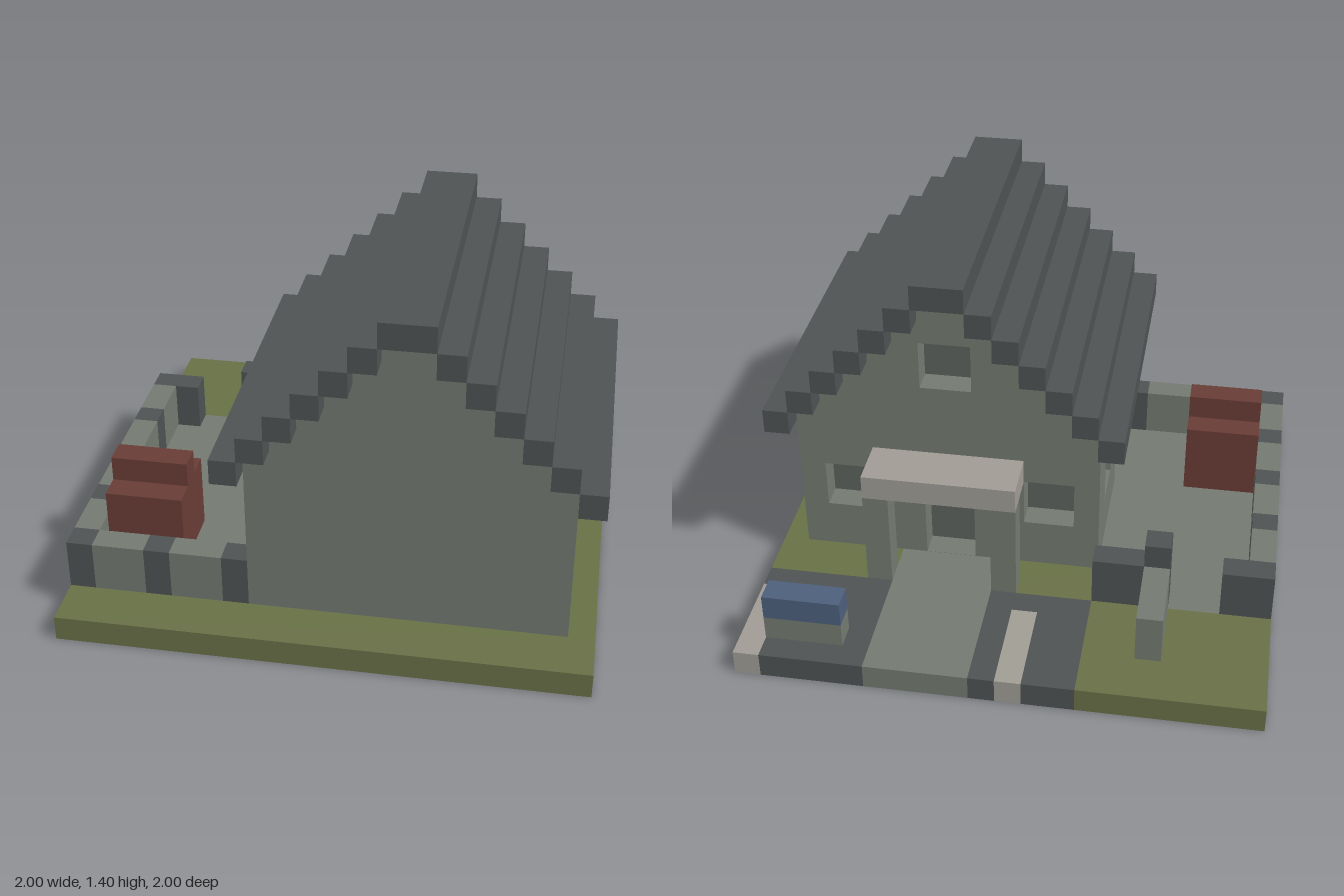
import * as THREE from 'three';

const mat = (name, color) => {
  const m = new THREE.MeshStandardMaterial({ color });
  m.name = name;
  return m;
};

export function createModel() {
  const root = new THREE.Group();
  root.name = 'house';
  const grass = mat('grass', 0x687046);
  const stone = mat('stone', 0x737970);
  const slate = mat('slate', 0x4e5253);
  const pale = mat('paleStone', 0xa09c94);
  const red = mat('redWood', 0x693d36);
  const blue = mat('blue', 0x4d5f7c);
  const glass = mat('darkGlass', 0x5c625e);

  // Box from its corner limits
  const box = (name, m, x0, x1, y0, y1, z0, z1, parent = root) => {
    const mesh = new THREE.Mesh(new THREE.BoxGeometry(x1 - x0, y1 - y0, z1 - z0), m);
    mesh.position.set((x0 + x1) / 2, (y0 + y1) / 2, (z0 + z1) / 2);
    mesh.name = name;
    parent.add(mesh);
    return mesh;
  };

  // Ground slab, one tile thick, laid in patches
  const tiles = (name, m, list) =>
    list.forEach(([x0, x1, z0, z1]) => box(name, m, x0, x1, 0, 0.1, z0, z1));
  tiles('lawn', grass, [
    [-1, 1, 0.8, 1], [0.9, 1, -0.5, 0.8], [0.5, 0.9, -0.5, -0.3],
    [-0.3, 0.1, -0.5, -0.3], [-1, -0.3, -1, -0.5],
  ]);
  tiles('paving', stone, [[-1, 0.9, -0.3, 0.8], [-1, -0.3, -0.5, -0.3], [0.1, 0.5, -1, -0.3]]);
  tiles('drive', slate, [
    [-0.3, -0.1, -1, -0.5], [-0.1, 0, -0.6, -0.5], [0, 0.1, -1, -0.5],
    [0.5, 0.9, -1, -0.5], [0.9, 1, -0.6, -0.5],
  ]);
  tiles('driveMarking', pale, [[-0.1, 0, -1, -0.6], [0.9, 1, -1, -0.6]]);

  // House walls: outline extruded one tile, with rectangular openings
  const wall = (name, outline, openings) => {
    const shape = new THREE.Shape(outline.map(([x, y]) => new THREE.Vector2(x, y)));
    const g = new THREE.Group();
    g.name = name;
    openings.forEach(([x0, x1, y0, y1, m]) => {
      shape.holes.push(new THREE.Path([
        new THREE.Vector2(x0, y0), new THREE.Vector2(x0, y1),
        new THREE.Vector2(x1, y1), new THREE.Vector2(x1, y0),
      ]));
    });
    const geo = new THREE.ExtrudeGeometry(shape, { depth: 0.1, bevelEnabled: false });
    const mesh = new THREE.Mesh(geo, stone);
    mesh.name = name + 'Panel';
    g.add(mesh);
    root.add(g);
    return g;
  };
  // Thin pane on the inner side of each opening
  const panes = (g, openings, z0) => openings.forEach(([x0, x1, y0, y1, m]) =>
    box(m === red ? 'door' : 'pane', m, x0, x1, y0, y1, z0, z0 + 0.008, g));

  // Stepped gable outline
  const leftSteps = [], rightSteps = [];
  for (let k = 0; k < 6; k++) {
    const y = 0.7 + 0.1 * k, dx = 0.1 * k;
    leftSteps.unshift([-0.3 + dx, y + 0.1], [-0.3 + dx, k ? y : 0.1]);
    rightSteps.push([0.9 - dx, k ? y : 0.1], [0.9 - dx, y + 0.1]);
  }
  const gable = [...rightSteps, ...leftSteps];

  wall('frontGable', gable, []).position.z = 0.7;

  const backOpenings = [
    [-0.2, 0, 0.3, 0.5, glass], [0.6, 0.8, 0.3, 0.5, glass],
    [0.2, 0.4, 0.9, 1.1, glass], [0.2, 0.4, 0.101, 0.5, glass],
  ];
  const back = wall('backGable', gable, backOpenings);
  back.position.z = -0.3;
  panes(back, backOpenings, 0.1);

  // Side walls, drawn along z and turned into place
  const side = [[-0.2, 0.1], [0.7, 0.1], [0.7, 0.8], [-0.2, 0.8]];
  const leftOpenings = [[0, 0.2, 0.3, 0.5, glass], [0.4, 0.6, 0.3, 0.5, glass]];
  const rightOpenings = [[-0.1, 0.1, 0.3, 0.5, glass], [0.3, 0.5, 0.101, 0.5, red]];
  const left = wall('leftWall', side, leftOpenings);
  left.position.x = 0.9;
  panes(left, leftOpenings, 0.1);
  const right = wall('rightWall', side, rightOpenings);
  right.position.x = -0.2;
  panes(right, rightOpenings, -0.008);
  left.rotation.y = right.rotation.y = -Math.PI / 2;

  // Stepped roof, mirrored about the ridge
  for (let k = 0; k < 6; k++) {
    const y = 0.7 + 0.1 * k, d = 0.1 * k;
    box('roofStep', slate, -0.4 + d, -0.3 + d, y, y + 0.1, -0.4, 0.9);
    box('roofStep', slate, 0.9 - d, 1 - d, y, y + 0.1, -0.4, 0.9);
  }
  box('roofRidge', slate, 0.2, 0.4, 1.3, 1.4, -0.4, 0.9);

  // Porch
  box('porchCanopy', pale, 0, 0.6, 0.5, 0.6, -0.5, -0.3);
  for (const x of [0, 0.5]) box('porchPost', stone, x, x + 0.1, 0.1, 0.5, -0.5, -0.4);

  // Terrace wall with alternating dark piers
  const low = (name, m, x0, x1, z0, z1, top = 0.3) => box(name, m, x0, x1, 0.1, top, z0, z1);
  const pierZ = [-0.5, -0.2, 0.1, 0.4, 0.7];
  pierZ.forEach((z, i) => {
    low('terracePier', slate, -1, -0.9, z, z + 0.1);
    if (i < 4) low('terraceWall', stone, -1, -0.9, z + 0.1, pierZ[i + 1]);
  });
  low('terraceWall', stone, -0.9, -0.7, 0.7, 0.8);
  low('terracePier', slate, -0.7, -0.6, 0.7, 0.8);
  low('terraceWall', stone, -0.6, -0.4, 0.7, 0.8);
  low('terracePier', slate, -0.4, -0.3, 0.7, 0.8);

  // Terrace entrance
  low('gateWall', slate, -0.9, -0.8, -0.5, -0.4);
  low('gatePost', slate, -0.6, -0.5, -0.5, -0.4, 0.4);
  low('gateWall', slate, -0.5, -0.3, -0.5, -0.4);
  low('gardenWall', stone, -0.6, -0.5, -0.8, -0.5);

  // Terrace table with a lower seat on each side
  low('seat', red, -0.9, -0.6, 0.3, 0.4, 0.4);
  low('table', red, -0.9, -0.6, 0.4, 0.5, 0.5);
  low('seat', red, -0.9, -0.6, 0.5, 0.6, 0.4);

  // Roadside block with blue top
  box('blockBase', stone, 0.6, 0.9, 0.1, 0.2, -0.9, -0.8);
  box('blockTop', blue, 0.6, 0.9, 0.2, 0.3, -0.9, -0.8);

  return root;
}
